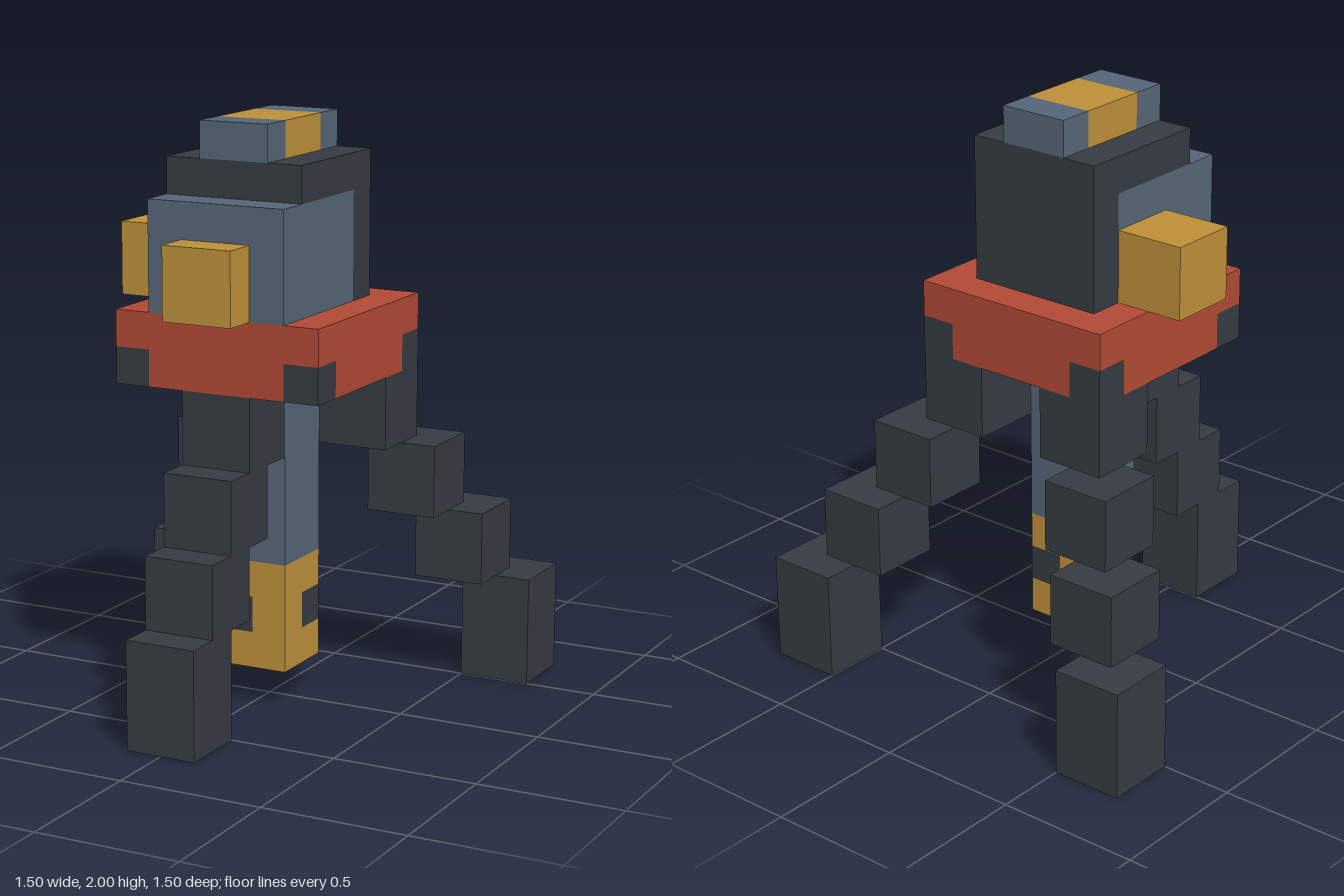
import * as THREE from 'three';

const U = 0.125; // edge of one block

export function createModel() {
  const model = new THREE.Group();
  model.name = 'walker';

  const material = (name, color) => {
    const m = new THREE.MeshStandardMaterial({ color });
    m.name = name;
    return m;
  };
  const dark = material('charcoal', 0x363c43);
  const blue = material('slate blue', 0x566677);
  const red = material('rust red', 0xb24a35);
  const gold = material('gold', 0xbe913a);

  // Box given by its x, y and z ranges, in blocks
  const box = (name, mat, [x0, x1], [y0, y1], [z0, z1], parent = model) => {
    const mesh = new THREE.Mesh(
      new THREE.BoxGeometry((x1 - x0) * U, (y1 - y0) * U, (z1 - z0) * U), mat);
    mesh.position.set((x0 + x1) / 2 * U, (y0 + y1) / 2 * U, (z0 + z1) / 2 * U);
    mesh.name = name;
    parent.add(mesh);
    return mesh;
  };

  // Three stepped legs: one forward, two diagonally back
  const legs = [['frontLeg', 0, 1], ['backLeftLeg', 1, -1], ['backRightLeg', -1, -1]];
  const heights = [[7, 9], [5, 7], [3, 5], [0, 3]];
  for (const [name, dx, dz] of legs) {
    const leg = new THREE.Group();
    leg.name = name;
    heights.forEach((y, i) => {
      const cx = dx * (i + 2), cz = dz * (i + 2);
      box('legSegment', dark, [cx - 1, cx + 1], y, [cz - 1, cz + 1], leg);
    });
    model.add(leg);
  }

  // Central column with a gold tip and two dark corner ports
  box('column', blue, [-1, 1], [4, 9], [-1, 1]);
  box('tipTop', gold, [-1, 1], [3, 4], [-1, 1]);
  box('tipBottom', gold, [-1, 1], [1, 2], [-1, 1]);
  for (const x of [-1, 0]) {
    for (const z of [-1, 0]) {
      const port = x !== z;
      box(port ? 'tipPort' : 'tipCorner', port ? dark : gold, [x, x + 1], [2, 3], [z, z + 1]);
    }
  }

  // Red platform with dark lower corners
  box('platformTop', red, [-3, 3], [10, 11], [-3, 3]);
  box('platformCore', red, [-3, 3], [9, 10], [-2, 2]);
  for (const z of [-3, 2]) {
    box('platformEdge', red, [-2, 2], [9, 10], [z, z + 1]);
    for (const x of [-3, 2]) box('platformCorner', dark, [x, x + 1], [9, 10], [z, z + 1]);
  }

  // Head
  box('head', blue, [-2, 2], [11, 14], [-1, 3]);
  box('headBack', dark, [-2, 2], [11, 14], [-2, -1]);
  box('headLid', dark, [-2, 2], [14, 15], [-2, 2]);
  box('frontEye', gold, [-1, 1], [11, 13], [3, 4]);
  box('sidePod', gold, [-4, -2], [11, 13], [-1, 1]);

  // Crest on top
  box('crestFront', blue, [-1, 1], [15, 16], [1, 2]);
  box('crestMiddle', gold, [-1, 1], [15, 16], [-1, 1]);
  box('crestBack', blue, [-1, 1], [15, 16], [-2, -1]);

  return model;
}
